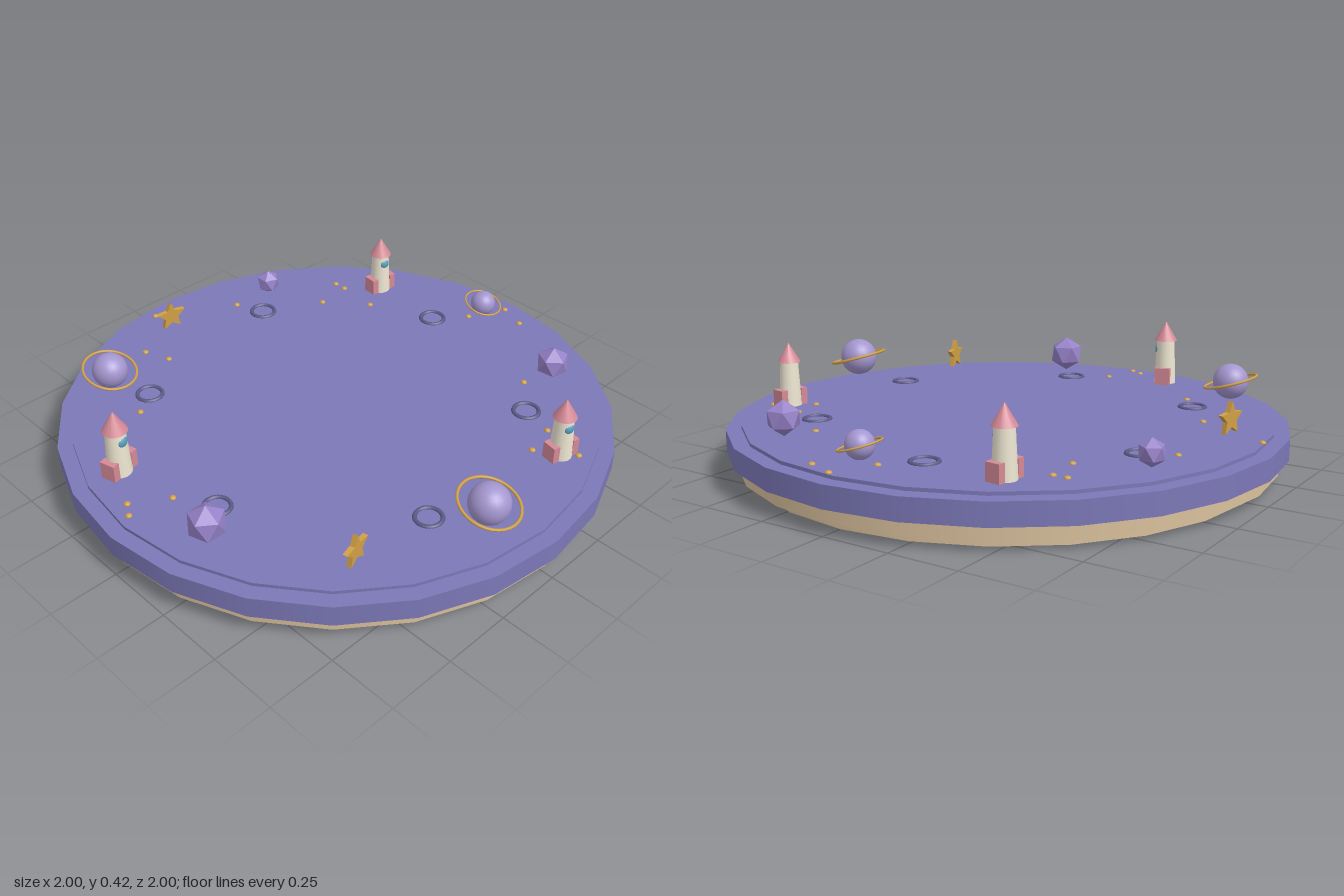
import * as THREE from 'three';

const TOP = 0.175; // height of the play surface
const mat = (color, flatShading = false) => new THREE.MeshStandardMaterial({ color, flatShading });
const M = {
  purple: mat(0x7c78b8), tan: mat(0xd9c09c), lilac: mat(0xa496cf), gem: mat(0x9682c8, true),
  gold: mat(0xd0a045), cream: mat(0xeee6d2), pink: mat(0xd58a96), blue: mat(0x5aa0c0), crater: mat(0x5c5885),
};

function add(parent, name, geometry, material, x = 0, y = 0, z = 0) {
  const mesh = new THREE.Mesh(geometry, material);
  mesh.name = name;
  mesh.position.set(x, y, z);
  parent.add(mesh);
  return mesh;
}

function group(parent, name, x, z, turn = 0, scale = 1) {
  const g = new THREE.Group();
  g.name = name;
  g.position.set(x, TOP, z);
  g.rotation.y = turn;
  g.scale.setScalar(scale);
  parent.add(g);
  return g;
}

function disc(parent, name, radius, y0, y1, material) {
  add(parent, name, new THREE.CylinderGeometry(radius, radius, y1 - y0, 24), material, 0, (y0 + y1) / 2, 0);
}

function rocket(parent, x, z, turn, scale) {
  const g = group(parent, 'rocket', x, z, turn, scale);
  add(g, 'rocketBody', new THREE.CylinderGeometry(0.033, 0.041, 0.165, 16), M.cream, 0, 0.0825, 0);
  add(g, 'rocketNose', new THREE.ConeGeometry(0.042, 0.072, 16), M.pink, 0, 0.199, 0);
  add(g, 'rocketWindow', new THREE.SphereGeometry(0.021, 16, 10), M.blue, 0, 0.128, 0.026).scale.z = 0.6;
  for (const s of [-1, 1]) {
    add(g, 'rocketFin', new THREE.BoxGeometry(0.026, 0.062, 0.055), M.pink, s * 0.043, 0.031, 0);
  }
}

function planet(parent, x, z, r, y) {
  const g = group(parent, 'planet', x, z);
  add(g, 'planetBall', new THREE.SphereGeometry(r, 24, 16), M.lilac, 0, y - TOP, 0);
  const ring = add(g, 'planetRing', new THREE.TorusGeometry(r * 1.5, r * 0.075, 8, 32), M.gold, 0, y - TOP, 0);
  ring.rotation.set(Math.PI / 2 + 0.27, -0.05, 0);
}

function star(parent, x, z, turn) {
  const shape = new THREE.Shape();
  for (let i = 0; i < 10; i++) {
    const r = i % 2 ? 0.028 : 0.06;
    const a = Math.PI / 2 + (i * Math.PI) / 5;
    shape[i ? 'lineTo' : 'moveTo'](r * Math.cos(a), r * Math.sin(a));
  }
  shape.closePath();
  const geometry = new THREE.ExtrudeGeometry(shape, { depth: 0.018, bevelEnabled: false });
  geometry.translate(0, 0.064, -0.009);
  add(group(parent, 'star', x, z, turn), 'starBody', geometry, M.gold);
}

export function createModel() {
  const model = new THREE.Group();
  model.name = 'spaceBoard';

  // Stepped round base and raised top
  disc(model, 'baseFoot', 0.92, 0, 0.03, M.tan);
  disc(model, 'baseBody', 0.966, 0.03, 0.085, M.tan);
  disc(model, 'boardRim', 1, 0.085, 0.163, M.purple);
  disc(model, 'boardSurface', 0.946, 0.163, TOP, M.purple);

  rocket(model, -0.79, -0.235, 0.25, 1.06);
  rocket(model, 0.69, -0.445, -0.12, 1);
  rocket(model, 0.34, 0.75, -0.2, 1);

  planet(model, -0.54, -0.625, 0.065, 0.27);
  planet(model, -0.12, 0.81, 0.071, 0.276);
  planet(model, 0.82, 0, 0.048, 0.243);

  star(model, -0.54, 0.635, 0.2);
  star(model, -0.125, -0.803, -0.2);

  // Crystals, each standing on a corner
  for (const [x, z, r, turn] of [[-0.79, 0.23, 0.069, 0.3], [0.69, 0.445, 0.063, 0.1], [0.34, -0.75, 0.048, 0.6]]) {
    const geometry = new THREE.IcosahedronGeometry(r, 0).rotateZ(0.5536);
    add(group(model, 'crystal', x, z, turn), 'crystalBody', geometry, M.gem, 0, r, 0);
  }

  // Six evenly spaced crater rims
  for (let i = 0; i < 6; i++) {
    const a = 0.85 + (i * Math.PI) / 3;
    const geometry = new THREE.TorusGeometry(0.046, 0.008, 8, 24).rotateX(Math.PI / 2);
    add(model, 'craterRim', geometry, M.crater, 0.686 * Math.cos(a), TOP, 0.686 * Math.sin(a));
  }

  // Scattered gold studs
  const studs = [
    [-0.115, -0.925], [-0.3, -0.745], [-0.265, -0.645], [-0.545, -0.45], [0.175, -0.76],
    [0.44, -0.53], [0.58, -0.595], [0.58, -0.545], [0.565, -0.38], [0.785, -0.04],
    [0.93, 0.03], [0.89, 0.135], [-0.875, -0.08], [-0.905, -0.03], [-0.75, 0],
    [0.585, 0.4], [0.415, 0.64], [0.49, 0.655], [0.29, 0.67], [0.38, 0.8],
  ];
  const studGeometry = new THREE.SphereGeometry(0.012, 10, 8);
  for (const [x, z] of studs) add(model, 'stud', studGeometry, M.gold, x, TOP, z).scale.y = 0.7;

  return model;
}
